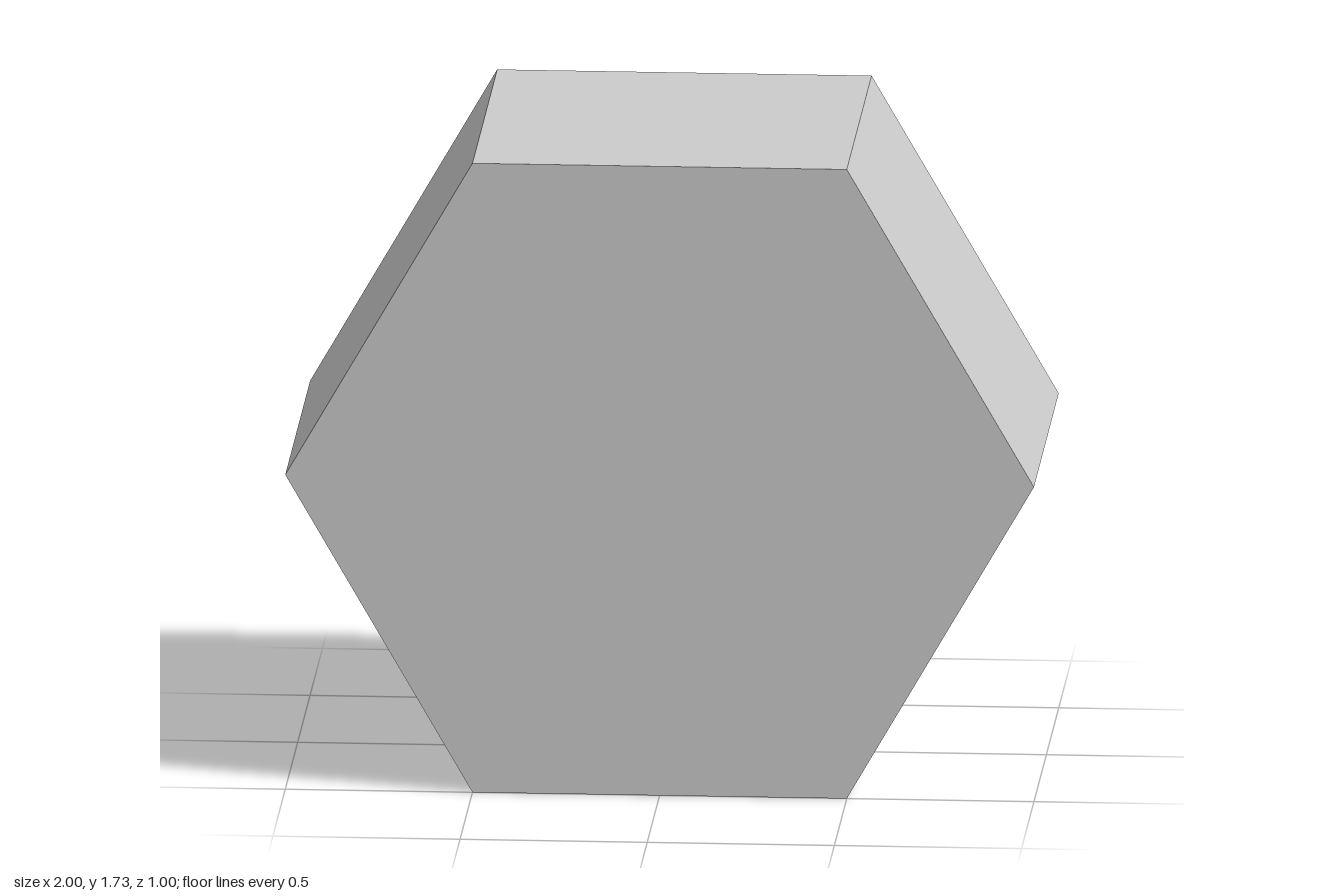
import * as THREE from 'three';

const material = new THREE.MeshStandardMaterial({ color: 0xcccccc, flatShading: true });
const APOTHEM = Math.sqrt(3) / 2;
const DEPTH = 1, FLOOR = 0.02;

// Hexagon with corners on the x axis
function hexPoints(radius) {
  return Array.from({ length: 6 }, (_, i) => {
    const a = (i * Math.PI) / 3;
    return new THREE.Vector2(radius * Math.cos(a), radius * Math.sin(a));
  });
}

function addPart(parent, name, geometry) {
  const mesh = new THREE.Mesh(geometry, material);
  mesh.name = name;
  parent.add(mesh);
  return mesh;
}

export function createModel() {
  const model = new THREE.Group();
  model.name = 'hexagonalBox';
  const box = new THREE.Group();
  box.name = 'box';
  box.position.y = APOTHEM;
  model.add(box);

  // Outer wall, open at the back
  const ring = new THREE.Shape(hexPoints(1));
  ring.holes.push(new THREE.Path(hexPoints(0.965).reverse()));
  addPart(box, 'outerWall', new THREE.ExtrudeGeometry(ring, { depth: DEPTH, bevelEnabled: false }))
    .position.z = -DEPTH / 2;

  // Thin panel closing the front
  const front = new THREE.Shape(hexPoints(1));
  addPart(box, 'frontPanel', new THREE.ExtrudeGeometry(front, { depth: FLOOR, bevelEnabled: false }))
    .position.z = DEPTH / 2 - FLOOR;

  // Six lining panels, set off from the wall and from each other by narrow gaps
  const inner = 0.92 * APOTHEM, outer = 0.947 * APOTHEM;
  const length = 0.9, lipSetback = 0.005;
  const panelDepth = DEPTH - FLOOR - lipSetback;
  for (let i = 0; i < 6; i++) {
    const side = new THREE.Group();
    side.name = 'liningSide' + (i + 1);
    side.rotation.z = (i * Math.PI) / 3;
    box.add(side);
    addPart(side, 'liningPanel', new THREE.BoxGeometry(length, outer - inner, panelDepth))
      .position.set(0, (inner + outer) / 2, (lipSetback - FLOOR) / 2);
  }

  return model;
}
